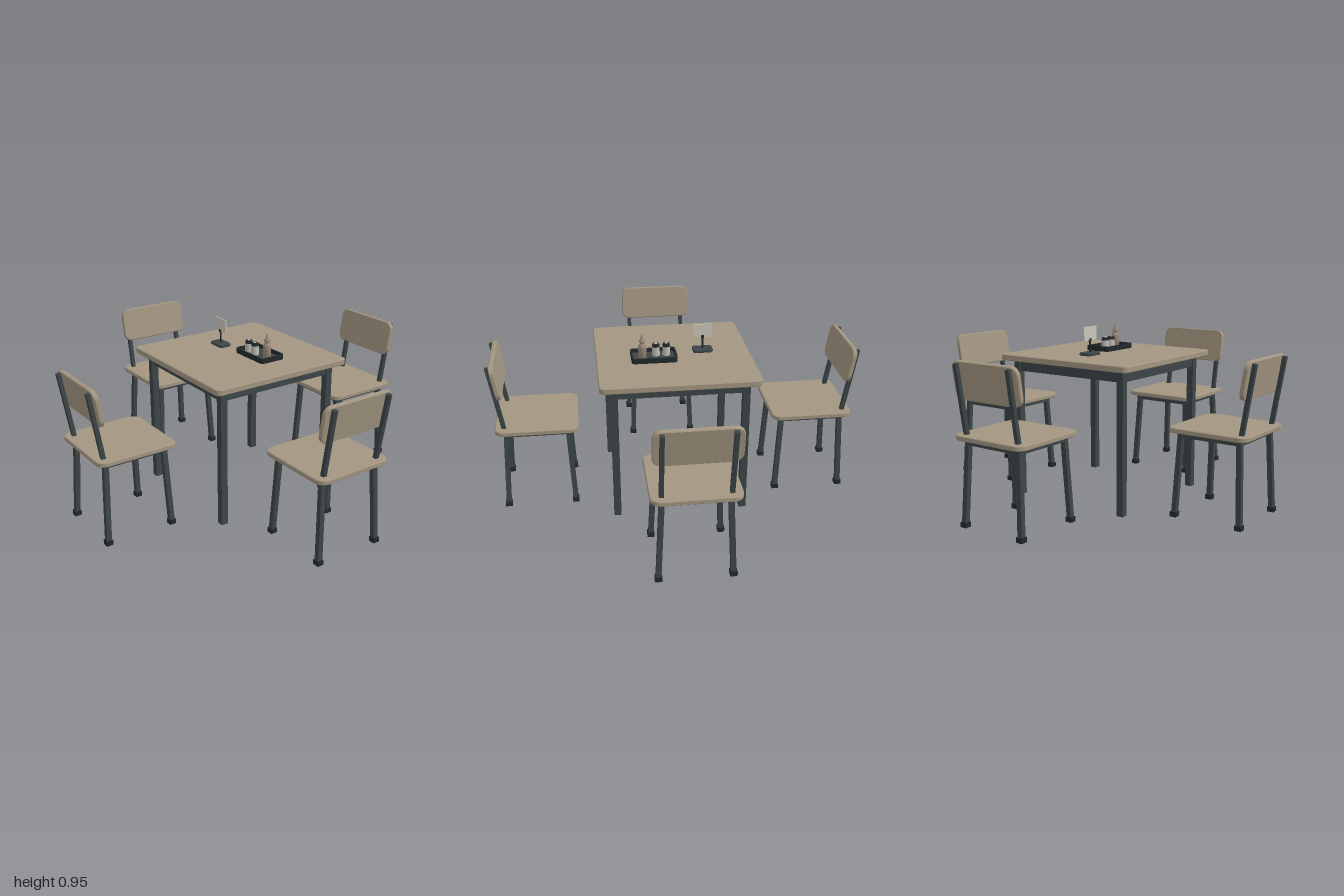
import * as THREE from 'three';

const paint = (name, color) => {
  const m = new THREE.MeshStandardMaterial({ color });
  m.name = name;
  return m;
};

export function createModel() {
  const wood = paint('wood', 0xa39681);
  const metal = paint('dark metal', 0x3c4547);
  const rubber = paint('black rubber', 0x22282a);
  const cardPaper = paint('card', 0xc9c6ba);
  const glass = paint('shaker glass', 0xbcbab2);
  const sauce = paint('sauce bottle', 0x998878);

  const add = (parent, name, geometry, material, x = 0, y = 0, z = 0) => {
    const mesh = new THREE.Mesh(geometry, material);
    mesh.name = name;
    mesh.position.set(x, y, z);
    parent.add(mesh);
    return mesh;
  };
  const group = (parent, name) => {
    const g = new THREE.Group();
    g.name = name;
    parent.add(g);
    return g;
  };

  const roundedRect = (w, h, r, path = new THREE.Shape()) => {
    const x = w / 2, y = h / 2;
    path.moveTo(-x + r, -y);
    path.lineTo(x - r, -y);
    path.absarc(x - r, -y + r, r, -Math.PI / 2, 0);
    path.absarc(x - r, y - r, r, 0, Math.PI / 2);
    path.absarc(-x + r, y - r, r, Math.PI / 2, Math.PI);
    path.absarc(-x + r, -y + r, r, Math.PI, Math.PI * 1.5);
    return path;
  };
  // Upright rounded board, centred, with a slim bevel
  const board = (w, h, r, t, bevel = 0.004) =>
    new THREE.ExtrudeGeometry(roundedRect(w - 2 * bevel, h - 2 * bevel, r - bevel), {
      depth: t - 2 * bevel, bevelThickness: bevel, bevelSize: bevel, bevelSegments: 1, curveSegments: 6,
    }).translate(0, 0, bevel - t / 2);
  // The same board lying flat
  const slab = (...args) => board(...args).rotateX(-Math.PI / 2);

  // Square bar between two points
  const bar = (parent, name, a, b, size, material) => {
    const from = new THREE.Vector3(...a), to = new THREE.Vector3(...b);
    const dir = to.clone().sub(from);
    const mesh = add(parent, name, new THREE.BoxGeometry(size, dir.length(), size), material);
    mesh.position.copy(from).add(to).multiplyScalar(0.5);
    mesh.quaternion.setFromUnitVectors(new THREE.Vector3(0, 1, 0), dir.normalize());
  };

  const model = new THREE.Group();
  model.name = 'diningSet';

  // Table
  const table = group(model, 'table');
  add(table, 'tableTop', slab(0.84, 0.84, 0.03, 0.033), wood, 0, 0.7785, 0);
  for (const s of [-1, 1]) {
    for (const t of [-1, 1])
      add(table, 'tableLeg', new THREE.BoxGeometry(0.038, 0.762, 0.038), metal, s * 0.345, 0.381, t * 0.345);
    add(table, 'apron', new THREE.BoxGeometry(0.655, 0.06, 0.022), metal, 0, 0.732, s * 0.345);
    add(table, 'apron', new THREE.BoxGeometry(0.022, 0.06, 0.655), metal, s * 0.345, 0.732, 0);
  }

  // Chairs, each facing the table
  const buildChair = () => {
    const chair = group(model, 'chair');
    add(chair, 'seat', slab(0.446, 0.446, 0.05, 0.026), wood, 0, 0.462, 0);
    for (const s of [-1, 1]) {
      for (const t of [-1, 1]) {
        bar(chair, 'chairLeg', [s * 0.186, 0.01, t * 0.186], [s * 0.165, 0.449, t * 0.165], 0.027, metal);
        add(chair, 'foot', new THREE.BoxGeometry(0.036, 0.026, 0.036), rubber, s * 0.186, 0.013, t * 0.186);
      }
      add(chair, 'seatRail', new THREE.BoxGeometry(0.31, 0.03, 0.02), metal, 0, 0.435, s * 0.165);
      add(chair, 'seatRail', new THREE.BoxGeometry(0.02, 0.03, 0.31), metal, s * 0.165, 0.435, 0);
      bar(chair, 'backPost', [s * 0.168, 0.465, -0.174], [s * 0.168, 0.83, -0.233], 0.022, metal);
    }
    const back = add(chair, 'backrest', board(0.424, 0.196, 0.045, 0.025), wood, 0, 0.746, -0.197);
    back.rotation.x = -Math.atan(0.059 / 0.365);
    return chair;
  };
  for (let i = 0; i < 4; i++) {
    const chair = buildChair(), a = (i * Math.PI) / 2;
    chair.rotation.y = a;
    chair.position.set(-Math.sin(a) * 0.755, 0, -Math.cos(a) * 0.755);
  }

  // Condiment tray: floor and raised rim
  const caddy = group(model, 'condimentTray');
  caddy.position.set(0.11, 0.795, -0.061);
  add(caddy, 'trayFloor', slab(0.236, 0.14, 0.018, 0.008, 0.001), metal, 0, 0.004, 0);
  const rim = roundedRect(0.246, 0.15, 0.02);
  rim.holes.push(roundedRect(0.228, 0.132, 0.014, new THREE.Path()));
  add(caddy, 'trayRim', new THREE.ExtrudeGeometry(rim, { depth: 0.028, bevelEnabled: false, curveSegments: 6 })
    .rotateX(-Math.PI / 2), rubber);

  // Salt and pepper shakers
  for (const x of [-0.07, -0.014]) {
    const shaker = group(caddy, 'shaker');
    shaker.position.set(x, 0.008, 0.02);
    add(shaker, 'shakerBody', new THREE.CylinderGeometry(0.02, 0.022, 0.05, 20), glass, 0, 0.025, 0);
    add(shaker, 'shakerCap', new THREE.CylinderGeometry(0.018, 0.021, 0.016, 20), rubber, 0, 0.058, 0);
    add(shaker, 'shakerLid', new THREE.CylinderGeometry(0.009, 0.009, 0.002, 16), glass, 0, 0.067, 0);
  }

  // Squeeze bottle
  const profile = [[0, 0], [0.022, 0], [0.022, 0.062], [0.019, 0.072], [0.012, 0.079], [0.012, 0.087],
    [0.017, 0.088], [0.017, 0.098], [0.009, 0.102], [0.004, 0.13], [0, 0.13]];
  add(caddy, 'squeezeBottle', new THREE.LatheGeometry(profile.map(p => new THREE.Vector2(...p)), 20),
    sauce, 0.062, 0.008, -0.004);

  // Table card on a stand
  const stand = group(model, 'cardStand');
  stand.position.set(-0.166, 0.795, 0.007);
  add(stand, 'standBase', slab(0.11, 0.074, 0.018, 0.016, 0.003), metal, 0, 0.008, 0);
  add(stand, 'standStem', new THREE.CylinderGeometry(0.005, 0.005, 0.07, 12), rubber, 0, 0.046, 0);
  add(stand, 'cardClip', new THREE.BoxGeometry(0.016, 0.016, 0.012), rubber, 0, 0.083, 0);
  add(stand, 'card', new THREE.BoxGeometry(0.107, 0.075, 0.006), cardPaper, 0, 0.117, 0);

  return model;
}
